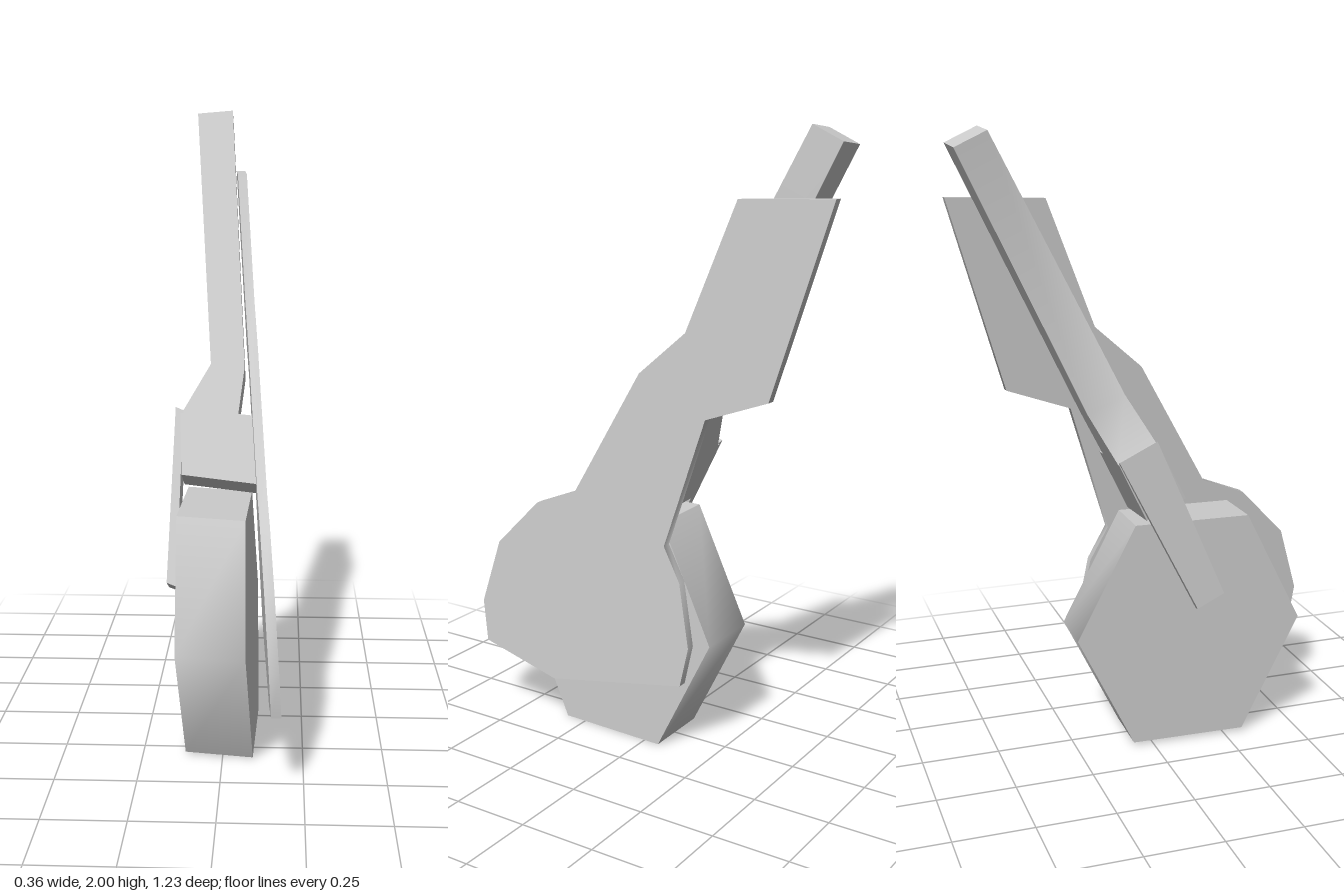
import * as THREE from 'three';
import { toCreasedNormals } from 'three/addons/utils/BufferGeometryUtils.js';

const material = new THREE.MeshStandardMaterial({ color: 0xcccccc });

// Extrudes an outline by one unit, then places each vertex (a, b, w) by a rule.
function slab(name, outline, rule) {
  const shape = new THREE.Shape(outline.map(([a, b]) => new THREE.Vector2(a, b)));
  const geo = new THREE.ExtrudeGeometry(shape, { depth: 1, bevelEnabled: false });
  const pos = geo.attributes.position;
  for (let i = 0; i < pos.count; i++) {
    pos.setXYZ(i, ...rule(pos.getX(i), pos.getY(i), pos.getZ(i)));
  }
  const mesh = new THREE.Mesh(toCreasedNormals(geo, 1.0), material);
  mesh.name = name;
  return mesh;
}

// Outline drawn as (z, y) and thickened along x.
const sideSlab = (name, outline, place) =>
  slab(name, outline.map(([z, y]) => [-z, y]), (a, y, w) => place(-a, y, w));

// Outline drawn as (x, y) on a raked front surface and thickened backwards.
const rakedSlab = (name, outline, frontZ, depth) =>
  slab(name, outline, (x, y, w) => {
    const d = (1 - w) * depth(y);
    return [x, y - 0.43 * d, frontZ(y) - 0.9 * d];
  });

export function createModel() {
  const model = new THREE.Group();
  model.name = 'landingGear';

  // Six-sided wheel on a slightly tilted axle
  const wheel = sideSlab('wheel',
    [[-0.25, 0.39], [-0.06, 0.005], [0.32, 0.005], [0.51, 0.39], [0.32, 0.765], [-0.06, 0.765]],
    (z, y, w) => {
      const x = -0.11 + 0.21 * w - 0.032 * y - 0.03 * (z - 0.13);
      return [x, y - 0.05 * x, z + 0.05 * x];
    });

  // Leaning cover plate beside the wheel and leg
  const door = sideSlab('door',
    [[0.32, 0.17], [0.60, 0.25], [0.62, 0.39], [0.555, 0.61], [0.40, 0.77], [0.25, 0.83],
      [0.02, 1.24], [-0.14, 1.38], [-0.30, 1.785], [-0.61, 1.795], [-0.43, 1.195],
      [-0.22, 1.12], [-0.09, 0.70], [-0.15, 0.59], [-0.19, 0.38], [-0.165, 0.25]],
    (z, y, w) => [0.145 + 0.03 * w - 0.0567 * (y - 0.39) + 0.045 * (z - 0.62), y, z]);

  // Leg that widens into the crown above the wheel
  const strut = rakedSlab('strut',
    [[-0.12, 1.99], [0, 2], [0.055, 1.17], [0.037, 1.03], [0.09, 1.025], [0.1, 0.825],
      [-0.14, 0.85], [-0.15, 1.04], [-0.14, 1.04], [-0.055, 1.18]],
    (y) => 0.545 - 0.527 * y,
    (y) => 0.11 + 0.03 * (2 - y));

  // Single arm from the crown down to the axle
  const arm = rakedSlab('forkArm',
    [[-0.165, 1.05], [-0.18, 0.53], [-0.15, 0.52], [-0.14, 1.04]],
    (y) => 0.445 - 0.43 * y,
    (y) => 0.1 + 0.07 * (y - 0.52));

  model.add(wheel, door, strut, arm);
  return model;
}
